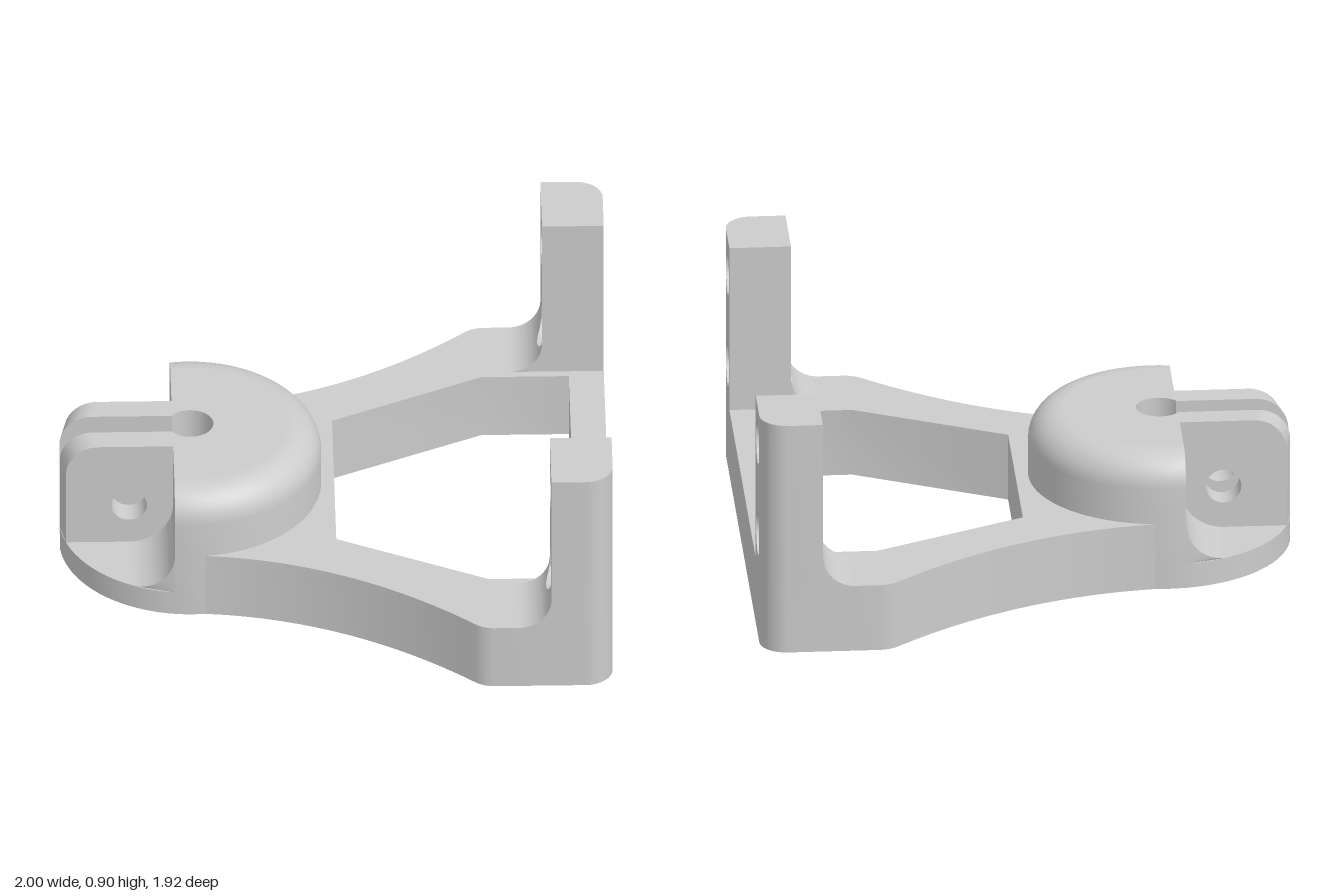
import * as THREE from 'three';
import { toCreasedNormals } from 'three/addons/utils/BufferGeometryUtils.js';

const C = -0.522, R = 0.478, BORE = 0.085;       // boss centre x, boss radius, bore radius
const CUT = -0.587, SLOT = 0.05, TAB = 0.145;    // pocket wall x, slot half width, tab outer z
const FLOOR = 0.095, DECK = 0.257, TOP = 0.515, POST = 0.9, ROUND = 0.12;
const FACE = 0.775, INNER = 0.676, OUTER = 0.96; // post inner face x, post z range
const HOLE_Z = 0.775, HOLE_R = 0.081, HOLE_Y = [0.398, 0.758];
const material = new THREE.MeshStandardMaterial({ color: 0xcccccc });
const V = (x, y) => new THREE.Vector2(x, y);

const extrude = (shape, depth, steps = 1) =>
  new THREE.ExtrudeGeometry(shape, { depth, steps, bevelEnabled: false, curveSegments: 16 });

// plan shape (x, z) raised from y0 to y1
const plan = (shape, y0, y1) =>
  extrude(shape, y1 - y0).rotateX(Math.PI / 2).translate(0, y1, 0);

// mirrored copy across z = 0, with the winding restored
function mirrorZ(geometry) {
  const g = geometry.clone().scale(1, 1, -1);
  const p = g.attributes.position, a = new THREE.Vector3(), b = new THREE.Vector3();
  for (let i = 0; i < p.count; i += 3) {
    a.fromBufferAttribute(p, i + 1);
    b.fromBufferAttribute(p, i + 2);
    p.setXYZ(i + 1, b.x, b.y, b.z);
    p.setXYZ(i + 2, a.x, a.y, a.z);
  }
  return g;
}

function warp(geometry, rule) {
  const p = geometry.attributes.position, v = new THREE.Vector3();
  for (let i = 0; i < p.count; i++) {
    rule(v.fromBufferAttribute(p, i));
    p.setXYZ(i, v.x, v.y, v.z);
  }
  return geometry;
}

// disc with a bore, open on its -x side between the given angles
function openDisc(r, outer, inner) {
  const pts = [];
  for (let i = 0; i <= 96; i++) {
    const t = outer * (i / 48 - 1);
    pts.push(V(C + r * Math.cos(t), r * Math.sin(t)));
  }
  for (let i = 0; i <= 32; i++) {
    const t = inner * (1 - i / 16);
    pts.push(V(C + BORE * Math.cos(t), BORE * Math.sin(t)));
  }
  return pts;
}
const bossOutline = r => openDisc(r, Math.acos((CUT - C) / r), Math.acos((CUT - C) / BORE));

// boss wall: outlines stacked up a rounded rim
function bossWall() {
  const levels = [[FLOOR, R]];
  for (let i = 0; i <= 10; i++) {
    const a = i / 10 * Math.PI / 2;
    levels.push([TOP - ROUND + ROUND * Math.sin(a), R - ROUND + ROUND * Math.cos(a)]);
  }
  const rings = levels.map(([y, r]) => bossOutline(r).map(p => [p.x, y, p.y]));
  const pos = [];
  for (let k = 0; k < rings.length - 1; k++) {
    const lo = rings[k], up = rings[k + 1];
    for (let i = 0; i < lo.length; i++) {
      const j = (i + 1) % lo.length;
      pos.push(...lo[i], ...up[i], ...lo[j], ...lo[j], ...up[i], ...up[j]);
    }
  }
  return new THREE.BufferGeometry().setAttribute('position', new THREE.Float32BufferAttribute(pos, 3));
}

// flared frame with its window
function frame() {
  const side = new THREE.Path();
  side.moveTo(-0.475, 0.476);
  side.quadraticCurveTo(0.043, 0.524, 0.5, 0.935);
  side.quadraticCurveTo(0.53, OUTER, 0.57, OUTER);
  side.lineTo(0.9, OUTER);
  side.absarc(0.9, OUTER - 0.1, 0.1, Math.PI / 2, 0, true);
  const half = [V(-0.41, 0.2), ...side.getPoints(24)];
  const shape = new THREE.Shape([...half, ...half.map(p => V(p.x, -p.y)).reverse()]);
  shape.holes.push(new THREE.Path([V(0.003, -0.378), V(0.553, -0.645), V(0.872, -0.645),
    V(0.872, 0.645), V(0.553, 0.645), V(0.003, 0.378)]));
  return plan(shape, 0, DECK);
}

// clamp tab with rounded top corner and screw hole, its end bent to the disc
function tab() {
  const left = C - R, s = new THREE.Shape();
  s.moveTo(left, FLOOR);
  s.lineTo(CUT, FLOOR);
  s.lineTo(CUT, TOP);
  s.lineTo(left + ROUND, TOP);
  s.absarc(left + ROUND, TOP - ROUND, ROUND, Math.PI / 2, Math.PI, false);
  s.holes.push(new THREE.Path().absarc(-0.747, 0.257, 0.065, 0, Math.PI * 2, true));
  const g = extrude(s, TAB - SLOT).translate(0, 0, SLOT);
  return warp(g, v => { if (v.x < -0.85) v.x += R - Math.sqrt(R * R - v.z * v.z); });
}

// concave fillet between pocket floor and pocket wall, trimmed to the disc
function pocketFillet() {
  const f = DECK - FLOOR, s = new THREE.Shape();
  s.moveTo(CUT, FLOOR);
  s.lineTo(CUT, DECK);
  s.absarc(CUT - f, DECK, f, 0, -Math.PI / 2, true);
  return warp(extrude(s, 1), v => {
    v.z = v.z > 0.5 ? Math.sqrt(R * R - (v.x - C) ** 2) : TAB;
  });
}

// post face with two cross holes, on the -z side
function postBody() {
  const out = OUTER - 0.1;
  const s = new THREE.Shape([V(INNER, 0.2), V(out, 0.2), V(out, POST), V(INNER, POST)]);
  for (const y of HOLE_Y)
    s.holes.push(new THREE.Path().absarc(HOLE_Z, y, HOLE_R, 0, Math.PI * 2, true));
  return extrude(s, 1 - FACE).rotateY(Math.PI / 2).translate(FACE, 0, 0);
}

// outer strip of the post with its rounded corner
function postCorner() {
  const s = new THREE.Shape();
  s.moveTo(FACE, 0.1 - OUTER);
  s.lineTo(FACE, -OUTER);
  s.lineTo(0.9, -OUTER);
  s.absarc(0.9, 0.1 - OUTER, 0.1, -Math.PI / 2, 0, false);
  return plan(s, 0.2, POST);
}

// fillet from the deck up to the post, lowered where the lower hole runs through it
function postFillet() {
  const cx = FACE - ROUND, cy = DECK + ROUND, s = new THREE.Shape();
  s.moveTo(FACE, DECK);
  s.lineTo(FACE, cy);
  s.absarc(cx, cy, ROUND, 0, -Math.PI / 2, true);
  const g = extrude(s, OUTER - INNER, 56).translate(0, 0, -OUTER);
  return warp(g, v => {
    const dz = v.z + HOLE_Z;
    if (Math.abs(dz) >= HOLE_R) return;
    const limit = HOLE_Y[0] - Math.sqrt(HOLE_R ** 2 - dz * dz);
    if (v.y <= limit) return;
    v.y = limit;
    if (v.x < FACE - 1e-5) v.x = cx + Math.sqrt(ROUND ** 2 - (cy - limit) ** 2);
  });
}

export function createModel() {
  const model = new THREE.Group();
  model.name = 'clampBracket';
  const add = (name, geometry) => {
    const mesh = new THREE.Mesh(toCreasedNormals(geometry, 0.5), material);
    mesh.name = name;
    model.add(mesh);
  };
  const addPair = (name, geometry) => {
    add(name + 'Back', name.startsWith('post') ? geometry : mirrorZ(geometry));
    add(name + 'Front', name.startsWith('post') ? mirrorZ(geometry) : geometry);
  };

  const base = openDisc(R, Math.PI - Math.asin(SLOT / R), Math.PI - Math.asin(SLOT / BORE));
  add('baseDisc', plan(new THREE.Shape(base), 0, FLOOR));
  add('frame', frame());
  add('bossWall', bossWall());
  add('bossCore', plan(new THREE.Shape(bossOutline(R - ROUND)), FLOOR, TOP));
  addPair('clampTab', tab());
  addPair('cutoutFillet', pocketFillet());
  addPair('post', postBody());
  addPair('postCorner', postCorner());
  addPair('postFillet', postFillet());
  return model;
}
